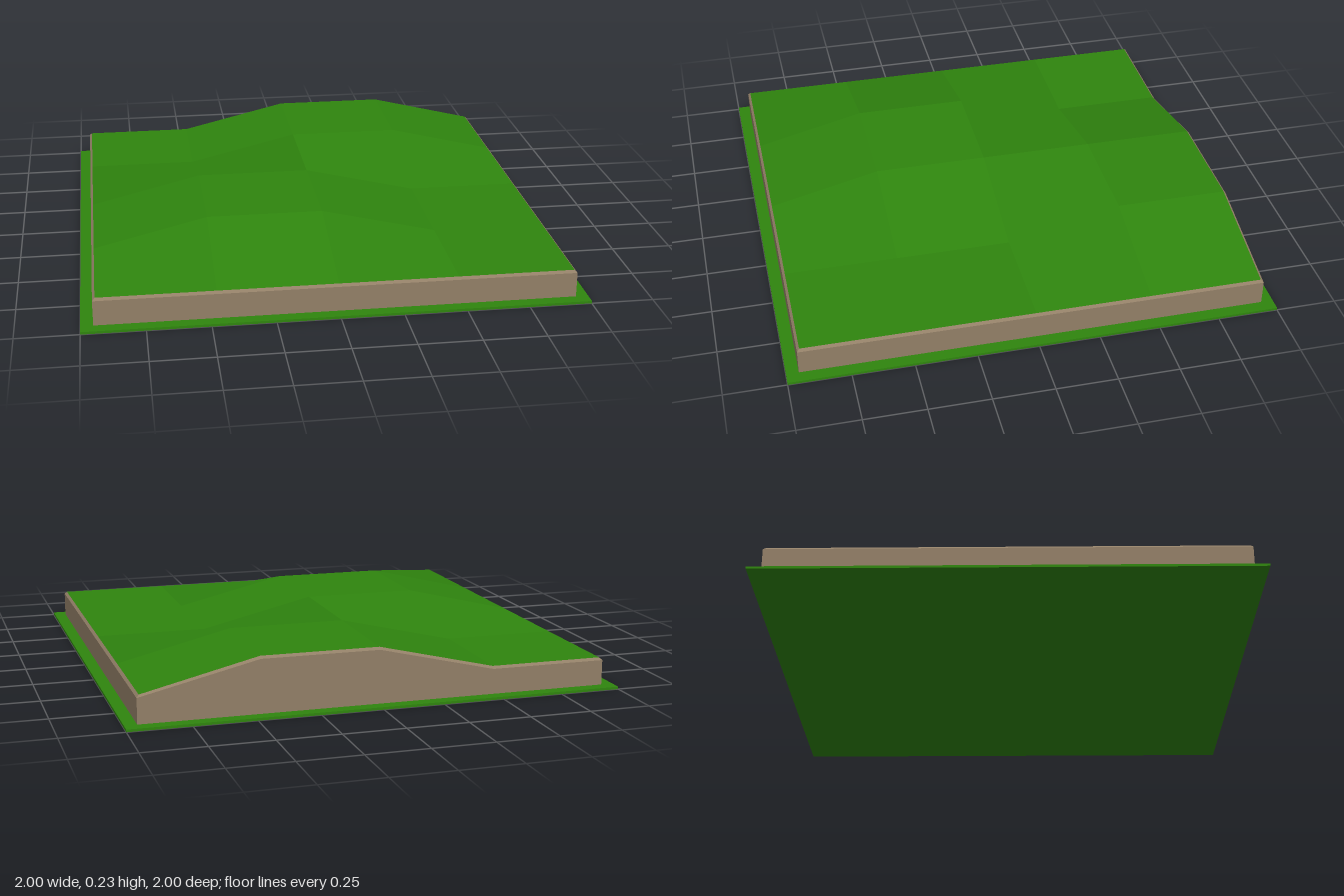
import * as THREE from 'three';

const CELLS = 4, HALF = 0.95, STEP = (2 * HALF) / CELLS;
const LOW = 0.122, RISE = 0.113, BEVEL = 0.01, PLATE = 0.01;

// raised (1) or low (0) grid corners, rows from back to front, columns from -x to +x
const RAISED = [
  [0, 0, 1, 1, 0],
  [0, 0, 1, 1, 0],
  [0, 1, 1, 0, 0],
  [0, 1, 1, 0, 0],
  [0, 0, 0, 0, 0],
];

// grid corner on a square of the given half width, lowered by drop
function corner(i, j, half = HALF, drop = 0) {
  const place = (k) => THREE.MathUtils.clamp(-HALF + k * STEP, -half, half);
  return new THREE.Vector3(place(i), LOW + RISE * RAISED[j][i] - drop, place(j));
}

// separate quads, each with one normal, split along the b-d diagonal
function quadGeometry(quads) {
  const pos = [], nor = [];
  for (const [a, b, c, d] of quads) {
    const n = c.clone().sub(a).cross(d.clone().sub(b)).normalize();
    for (const v of [a, b, d, b, c, d]) {
      pos.push(v.x, v.y, v.z);
      nor.push(n.x, n.y, n.z);
    }
  }
  const g = new THREE.BufferGeometry();
  g.setAttribute('position', new THREE.Float32BufferAttribute(pos, 3));
  g.setAttribute('normal', new THREE.Float32BufferAttribute(nor, 3));
  return g;
}

export function createModel() {
  const grass = new THREE.MeshStandardMaterial({ color: 0x2f850e });
  grass.name = 'grass green';
  const earth = new THREE.MeshStandardMaterial({ color: 0x927f67 });
  earth.name = 'earth brown';

  const model = new THREE.Group();
  model.name = 'terrainTile';
  const add = (name, geometry, material) => {
    const mesh = new THREE.Mesh(geometry, material);
    mesh.name = name;
    model.add(mesh);
    return mesh;
  };

  // thin plate under the tile
  add('basePlate', new THREE.BoxGeometry(2, PLATE, 2), grass).position.y = PLATE / 2;

  // hilly grass surface
  const inner = HALF - BEVEL;
  const top = [];
  for (let j = 0; j < CELLS; j++) {
    for (let i = 0; i < CELLS; i++) {
      top.push([corner(i, j, inner), corner(i, j + 1, inner), corner(i + 1, j + 1, inner), corner(i + 1, j, inner)]);
    }
  }
  add('grassSurface', quadGeometry(top), grass);

  // corners around the rim: left side, front, right side, back
  const rim = [];
  for (let k = 0; k < CELLS; k++) rim.push([0, k]);
  for (let k = 0; k < CELLS; k++) rim.push([k, CELLS]);
  for (let k = CELLS; k > 0; k--) rim.push([CELLS, k]);
  for (let k = CELLS; k > 0; k--) rim.push([k, 0]);

  // earth walls with a small bevel up to the grass
  const walls = [], bevels = [];
  rim.forEach(([i, j], k) => {
    const [m, n] = rim[(k + 1) % rim.length];
    const p = corner(i, j, HALF, BEVEL), q = corner(m, n, HALF, BEVEL);
    walls.push([p.clone().setY(PLATE), q.clone().setY(PLATE), q, p]);
    bevels.push([p, q, corner(m, n, inner), corner(i, j, inner)]);
  });
  add('earthWalls', quadGeometry(walls), earth);
  add('rimBevel', quadGeometry(bevels), earth);

  return model;
}
